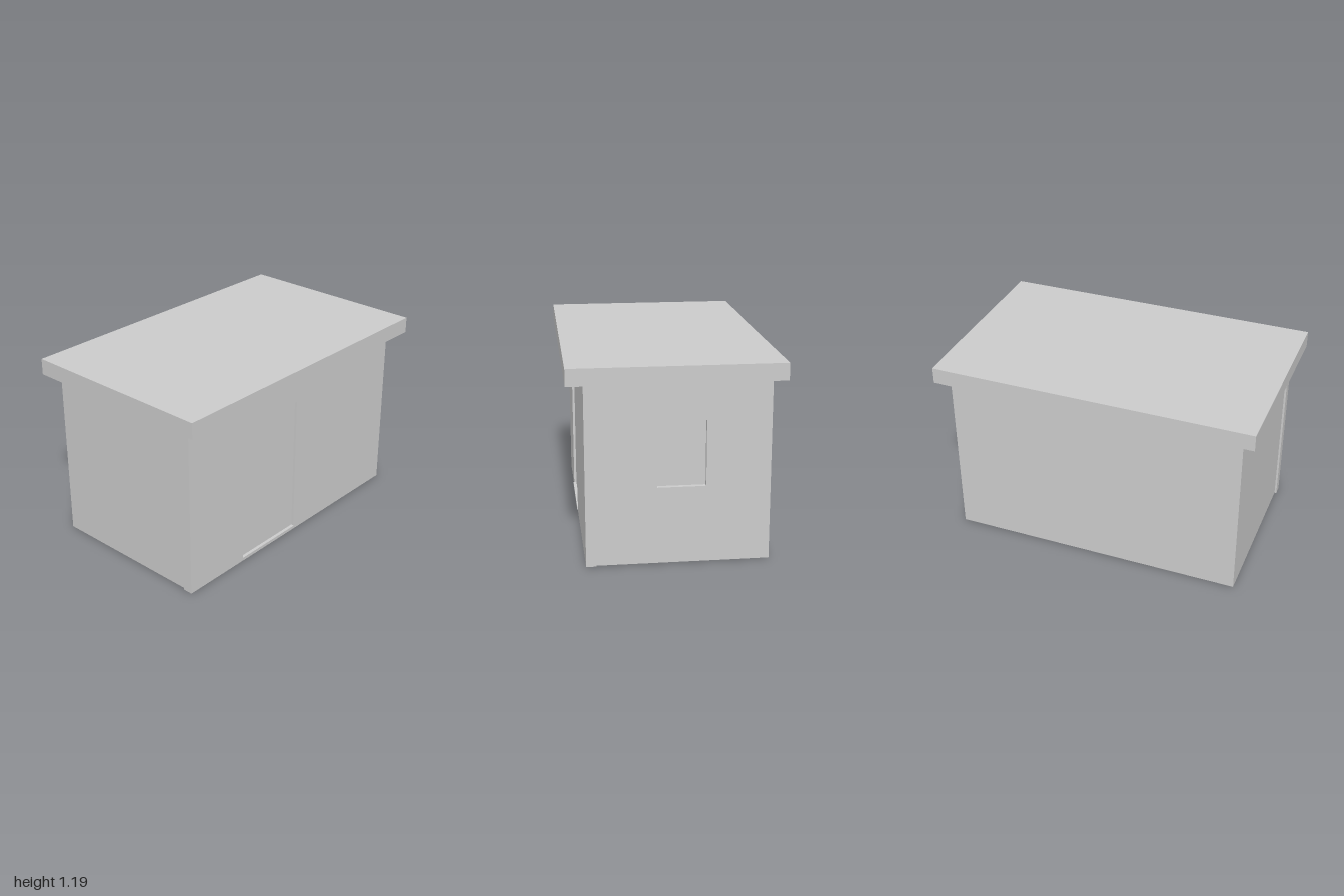
import * as THREE from 'three';

const material = new THREE.MeshStandardMaterial({ color: 0xcccccc });

// Box given by its min and max corners
function box(name, [x0, y0, z0], [x1, y1, z1]) {
  const mesh = new THREE.Mesh(new THREE.BoxGeometry(x1 - x0, y1 - y0, z1 - z0), material);
  mesh.name = name;
  mesh.position.set((x0 + x1) / 2, (y0 + y1) / 2, (z0 + z1) / 2);
  return mesh;
}

// Rectangular panel with a rectangular opening, thickness along +z
function panel(name, [u0, v0, u1, v1], [a0, b0, a1, b1], depth) {
  const shape = new THREE.Shape([[u0, v0], [u1, v0], [u1, v1], [u0, v1]].map(p => new THREE.Vector2(...p)));
  shape.holes.push(new THREE.Path([[a0, b0], [a0, b1], [a1, b1], [a1, b0]].map(p => new THREE.Vector2(...p))));
  const mesh = new THREE.Mesh(new THREE.ExtrudeGeometry(shape, { depth, bevelEnabled: false }), material);
  mesh.name = name;
  return mesh;
}

export function createModel() {
  const model = new THREE.Group();
  model.name = 'cabin';
  const base = 0.005, eaves = 1.09, ceiling = 1.16;

  // Front wall, slightly wider than the body, with a shallow door recess
  const front = panel('frontWall', [-0.93, base, 0.93, ceiling], [-0.475, 0.03, 0.01, 0.913], 0.06);
  front.position.z = 0.46;
  model.add(front);
  model.add(box('door', [-0.475, 0.03, 0.46], [0.01, 0.913, 0.505]));
  model.add(box('doorSill', [-0.475, 0.01, 0.5], [0.01, 0.03, 0.525]));

  // Right wall as seen from +x, with a window opening
  const side = panel('windowWall', [-0.46, base, 0.55, ceiling], [-0.11, 0.465, 0.172, 0.855], 0.06);
  side.rotation.y = Math.PI / 2;
  side.position.x = 0.858;
  model.add(side);
  model.add(box('windowPane', [0.87, 0.465, -0.172], [0.89, 0.855, 0.11]));

  // Plain walls and floor
  model.add(box('plainSideWall', [-0.918, base, -0.55], [-0.858, ceiling, 0.46]));
  model.add(box('backWall', [-0.858, base, -0.55], [0.858, ceiling, -0.49]));
  model.add(box('floor', [-0.858, base + 0.003, -0.49], [0.858, 0.05, 0.46]));

  // Flat roof with a fascia hanging around its edge
  const fascia = panel('fascia', [-1, -0.62, 1, 0.62], [-0.97, -0.59, 0.97, 0.59], ceiling - eaves);
  fascia.rotation.x = Math.PI / 2;
  fascia.position.y = ceiling;
  model.add(fascia);
  model.add(box('roofDeck', [-1, ceiling, -0.62], [1, 1.19, 0.62]));

  // Small pipe stubs under the floor
  for (const [x, z] of [[0.82, -0.23], [-0.09, -0.23], [-0.09, -0.465]]) {
    const stub = new THREE.Mesh(new THREE.CylinderGeometry(0.023, 0.023, 0.02, 16), material);
    stub.name = 'pipeStub';
    stub.scale.z = 0.5;
    stub.position.set(x, 0.01, z);
    model.add(stub);
  }
  return model;
}
